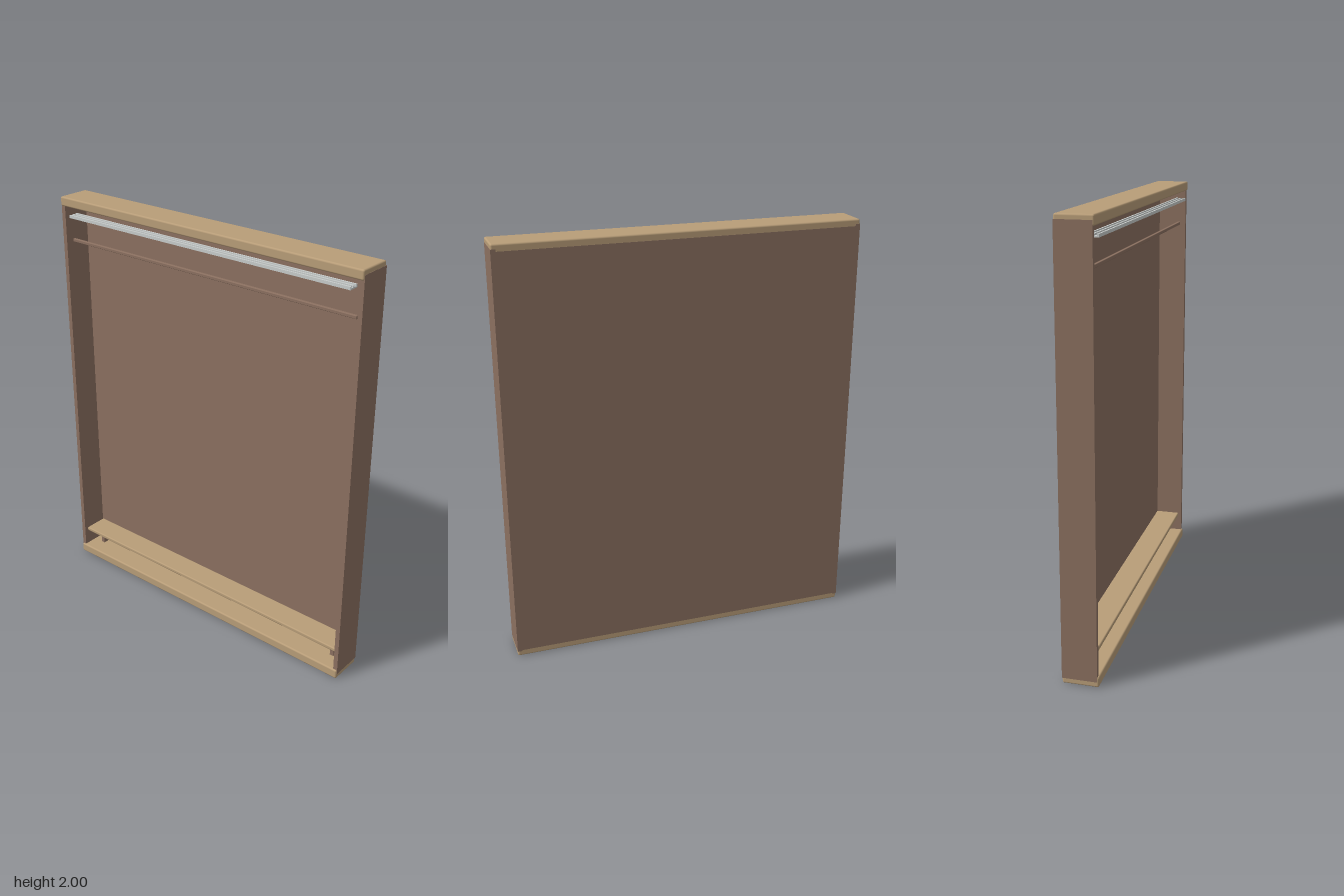
import * as THREE from 'three';
import { RoundedBoxGeometry } from 'three/addons/geometries/RoundedBoxGeometry.js';

export function createModel() {
  const group = new THREE.Group();
  const material = (name, color) => {
    const m = new THREE.MeshStandardMaterial({ color });
    m.name = name;
    return m;
  };
  const lightWood = material('light wood', 0xb89d78);
  const darkWood = material('dark wood', 0x8b7060);
  const metal = material('brushed metal', 0xc8cccb);

  // Box given by its minimum and maximum corners, with optional rounded edges
  const block = (name, mat, [x0, y0, z0], [x1, y1, z1], radius = 0) => {
    const size = [x1 - x0, y1 - y0, z1 - z0];
    const geometry = radius
      ? new RoundedBoxGeometry(...size, 3, radius)
      : new THREE.BoxGeometry(...size);
    const mesh = new THREE.Mesh(geometry, mat);
    mesh.name = name;
    mesh.position.set((x0 + x1) / 2, (y0 + y1) / 2, (z0 + z1) / 2);
    group.add(mesh);
  };

  // Top and bottom boards
  block('topBoard', lightWood, [-0.846, 1.955, -0.082], [0.846, 2, 0.082], 0.008);
  block('bottomBoard', lightWood, [-0.846, 0, -0.082], [0.846, 0.047, 0.082], 0.008);

  // Back panel, slightly proud of the boards
  block('backPanel', darkWood, [-0.846, 0.03, -0.083], [0.846, 1.968, -0.063]);

  // Side panels and shelf legs, mirrored
  for (const [side, s] of [['left', 1], ['right', -1]]) {
    const span = (a, b) => (s > 0 ? [a, b] : [-b, -a]);
    const [p0, p1] = span(0.825, 0.847);
    block(side + 'SidePanel', darkWood, [p0, 0.025, -0.083], [p1, 1.978, 0.075]);
    const [l0, l1] = span(0.755, 0.775);
    block(side + 'ShelfLeg', darkWood, [l0, 0.046, -0.03], [l1, 0.132, 0]);
  }

  // Low shelf
  block('shelf', lightWood, [-0.822, 0.13, -0.064], [0.822, 0.15, 0.06], 0.006);

  // Hanging rail
  block('hangingRail', darkWood, [-0.807, 1.78, 0.037], [0.807, 1.795, 0.052], 0.003);

  // Sliding track: a base strip with three raised ribs
  block('trackBase', metal, [-0.79, 1.906, 0.033], [0.79, 1.912, 0.083]);
  for (const z of [0.033, 0.054, 0.075]) {
    block('trackRib', metal, [-0.79, 1.911, z], [0.79, 1.92, z + 0.008]);
  }

  return group;
}
